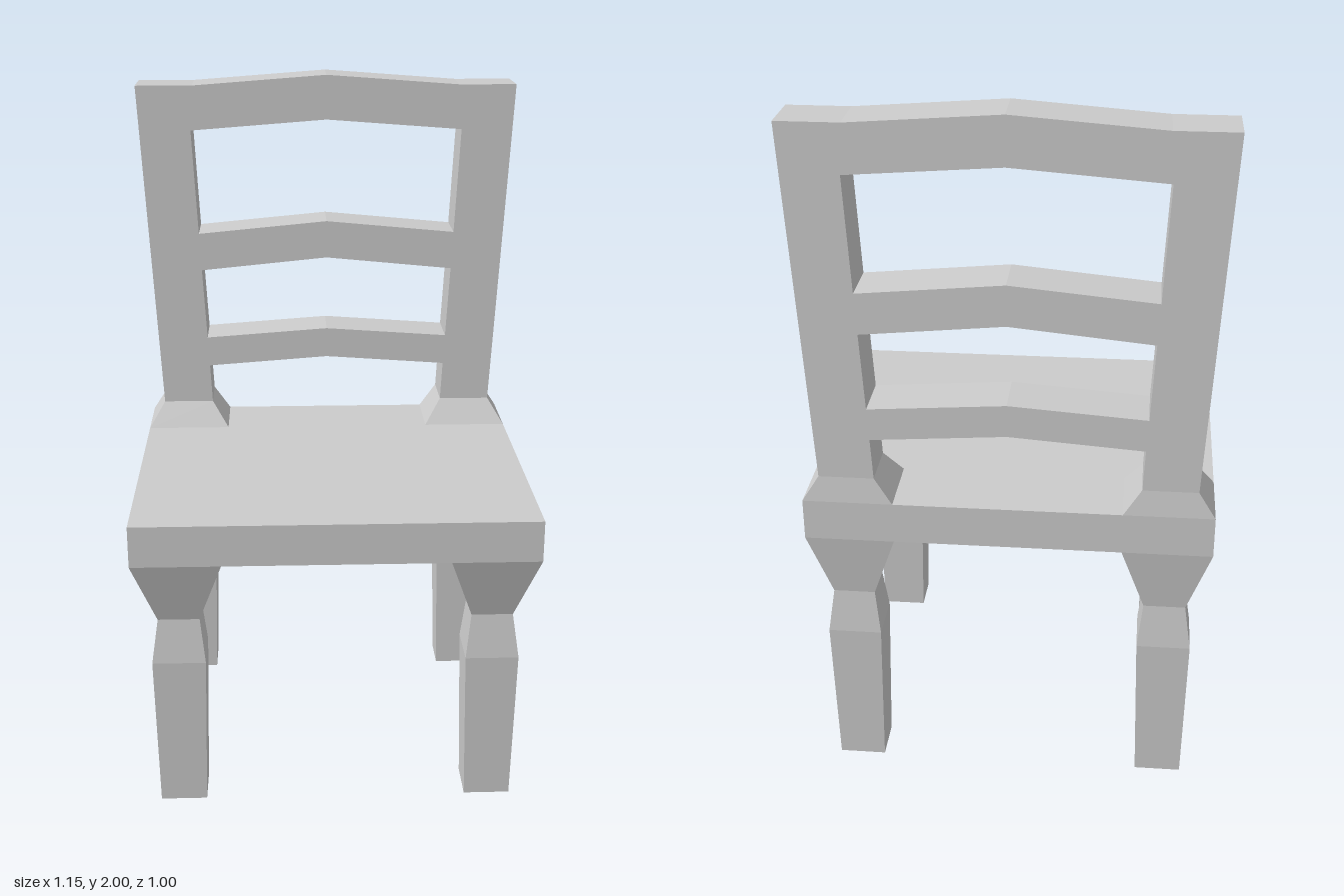
import * as THREE from 'three';

const material = new THREE.MeshStandardMaterial({ color: 0xcccccc, flatShading: true });

// Square post through rising sections [y, x0, x1, z0, z1]; side = 1 or -1 mirrors it in x
function post(name, sections, side) {
  const n = sections.length - 1;
  const geometry = new THREE.BoxGeometry(1, 1, 1, 1, n, 1);
  const pos = geometry.attributes.position;
  for (let i = 0; i < pos.count; i++) {
    const [y, x0, x1, z0, z1] = sections[Math.round((pos.getY(i) + 0.5) * n)];
    pos.setXYZ(i,
      side * (x0 + x1) / 2 + pos.getX(i) * (x1 - x0),
      y,
      (z0 + z1) / 2 + pos.getZ(i) * (z1 - z0));
  }
  const flat = geometry.toNonIndexed();
  flat.computeVertexNormals();
  const mesh = new THREE.Mesh(flat, material);
  mesh.name = name;
  return mesh;
}

// Window between two slats, with peaked top and bottom edges
function opening(bottomX, bottomY, bottomPeak, topX, topY, topPeak) {
  return new THREE.Path([
    [-bottomX, bottomY], [-topX, topY], [0, topPeak],
    [topX, topY], [bottomX, bottomY], [0, bottomPeak],
  ].map(([x, y]) => new THREE.Vector2(x, y)));
}

export function createModel() {
  const chair = new THREE.Group();
  chair.name = 'chair';

  // Seat slab
  const seat = new THREE.Mesh(new THREE.BoxGeometry(1.14, 0.12, 1), material);
  seat.name = 'seat';
  seat.position.y = 0.835;
  chair.add(seat);

  // Shaped legs and the flared feet of the back posts
  const frontLeg = [
    [0, 0.38, 0.513, 0.32, 0.445],
    [0.455, 0.37, 0.522, 0.31, 0.457],
    [0.585, 0.385, 0.503, 0.325, 0.44],
    [0.775, 0.318, 0.57, 0.265, 0.5],
  ];
  const backLeg = [
    [0, 0.38, 0.513, -0.477, -0.355],
    [0.455, 0.37, 0.522, -0.49, -0.34],
    [0.585, 0.385, 0.503, -0.475, -0.36],
    [0.775, 0.318, 0.57, -0.5, -0.297],
  ];
  const postFoot = [
    [0.895, 0.318, 0.57, -0.5, -0.297],
    [0.97, 0.368, 0.522, -0.49, -0.342],
  ];
  for (const [label, side] of [['left', 1], ['right', -1]]) {
    chair.add(
      post(label + 'FrontLeg', frontLeg, side),
      post(label + 'BackLeg', backLeg, side),
      post(label + 'BackPostFoot', postFoot, side),
    );
  }

  // Backrest: splayed posts, peaked top rail and two peaked slats
  const outline = new THREE.Shape([
    [0.522, 0.97], [0.576, 1.97], [0.405, 1.97], [0, 2], [-0.405, 1.97], [-0.576, 1.97],
    [-0.522, 0.97], [-0.368, 0.97], [-0.374, 1.09], [0, 1.117], [0.374, 1.09], [0.368, 0.97],
  ].map(([x, y]) => new THREE.Vector2(x, y)));
  outline.holes.push(
    opening(0.379, 1.183, 1.21, 0.391, 1.402, 1.44),
    opening(0.397, 1.518, 1.555, 0.413, 1.836, 1.867),
  );
  const backrest = new THREE.Mesh(
    new THREE.ExtrudeGeometry(outline, { depth: 0.148, bevelEnabled: false }), material);
  backrest.name = 'backrest';
  backrest.position.z = -0.49;
  chair.add(backrest);

  return chair;
}
